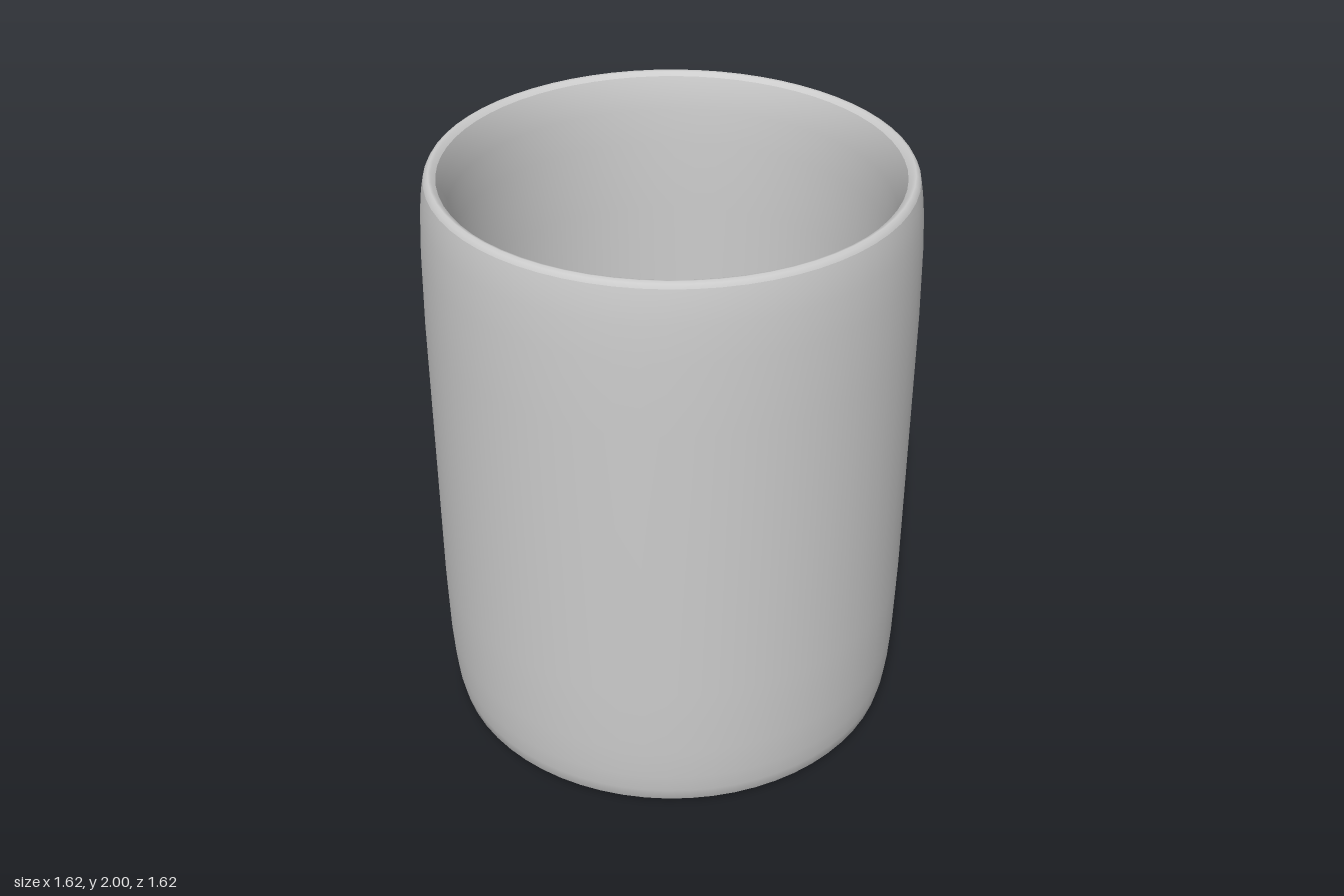
import * as THREE from 'three';

const SEGMENTS = 64;

export function createModel() {
  const model = new THREE.Group();
  const material = new THREE.MeshStandardMaterial({ color: 0xcccccc });

  // Revolves a profile of [radius, height] points around the y axis
  function addLathe(name, points) {
    const profile = points.map(([r, y]) => new THREE.Vector2(r, y));
    const mesh = new THREE.Mesh(new THREE.LatheGeometry(profile, SEGMENTS), material);
    mesh.name = name;
    model.add(mesh);
  }

  // Flat underside
  addLathe('underside', [[0, 0], [0.765, 0]]);

  // Outer wall, softly drawn in at both ends
  addLathe('outerWall', [
    [0.765, 0], [0.78, 0.015], [0.79, 0.06], [0.798, 0.13], [0.805, 0.25], [0.81, 0.5],
    [0.81, 1.5], [0.805, 1.75], [0.798, 1.87], [0.79, 1.94], [0.782, 1.982],
  ]);

  // Narrow rounded lip
  addLathe('rim', [[0.782, 1.982], [0.775, 1.995], [0.765, 2], [0.755, 1.997], [0.742, 1.985]]);

  // Inner wall, narrowing below the lip
  addLathe('innerWall', [
    [0.742, 1.985], [0.728, 1.94], [0.717, 1.87], [0.708, 1.75], [0.70, 1.5],
    [0.70, 0.55], [0.697, 0.3], [0.69, 0.19], [0.675, 0.125],
  ]);

  // Inside floor with a soft edge
  addLathe('floor', [[0.675, 0.125], [0.64, 0.11], [0.55, 0.102], [0.4, 0.1], [0, 0.1]]);

  return model;
}
